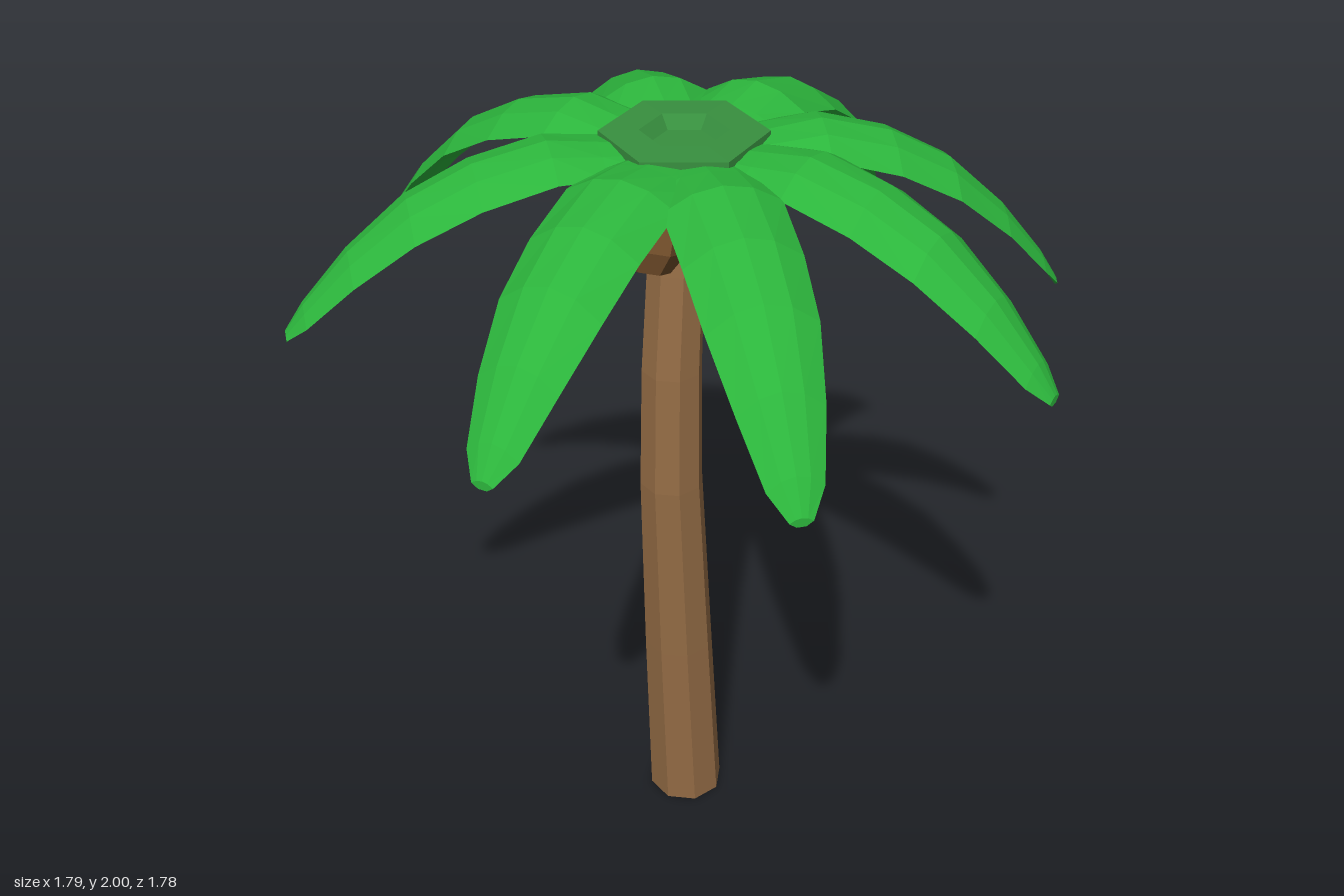
import * as THREE from 'three';

const flat = (color) => new THREE.MeshStandardMaterial({ color, flatShading: true });

// Joins equal-sized rings of [x, y, z] points (clockwise seen from the far end) into a closed solid
function loft(rings) {
  const n = rings[0].length, last = (rings.length - 1) * n, index = [];
  for (let i = 0; i < rings.length - 1; i++) {
    for (let j = 0; j < n; j++) {
      const a = i * n + j, a2 = i * n + (j + 1) % n;
      index.push(a, a + n, a2, a + n, a2 + n, a2);
    }
  }
  for (let j = 1; j < n - 1; j++) {
    index.push(0, j, j + 1, last, last + j + 1, last + j);
  }
  const geometry = new THREE.BufferGeometry();
  geometry.setAttribute('position', new THREE.Float32BufferAttribute(rings.flat(2), 3));
  geometry.setIndex(index);
  geometry.computeVertexNormals();
  return geometry;
}

// Arched leaf along +z: [fraction of length, fraction of droop, half width, fold depth]
const STATIONS = [
  [0.1, 0.08, 0.1, 0.02],
  [0.22, 0.04, 0.125, 0.035],
  [0.34, 0.0, 0.13, 0.048],
  [0.52, 0.09, 0.127, 0.055],
  [0.68, 0.26, 0.118, 0.055],
  [0.83, 0.54, 0.092, 0.045],
  [0.95, 0.84, 0.06, 0.03],
  [1.0, 1.0, 0.025, 0.01],
];

// Cross-section: gently crowned top with folded-down sides, hollow below
function frondGeometry(length, tipY) {
  const top = 1.995;
  return loft(STATIONS.map(([t, drop, w, fold]) => {
    const z = t * length, y = top - drop * (top - tipY), under = y - 0.018 - fold * 0.3;
    return [
      [-w, y - fold, z], [-w * 0.5, y - fold * 0.25, z], [0, y, z], [w * 0.5, y - fold * 0.25, z],
      [w, y - fold, z], [w * 0.4, under, z], [-w * 0.4, under, z],
    ];
  }));
}

function lathe(points, sides) {
  return new THREE.LatheGeometry(points.map(([x, y]) => new THREE.Vector2(x, y)), sides);
}

export function createModel() {
  const tree = new THREE.Group();
  tree.name = 'palmTree';
  const bark = flat(0x946c45), leaf = flat(0x2cb53c), crown = flat(0x38903f), shell = flat(0x714d29);
  const add = (name, geometry, material, x = 0, y = 0, z = 0) => {
    const mesh = new THREE.Mesh(geometry, material);
    mesh.name = name;
    mesh.position.set(x, y, z);
    tree.add(mesh);
    return mesh;
  };

  // Curved, tapering eight-sided trunk: [y, z, radius]
  const trunkRings = [
    [0, -0.025, 0.1], [0.55, 0.012, 0.09], [1.08, 0.043, 0.079],
    [1.4, 0.037, 0.074], [1.66, 0.015, 0.069], [1.93, -0.015, 0.064],
  ].map(([y, z, r]) => Array.from({ length: 8 }, (_, k) => {
    const a = k * Math.PI / 4;
    return [-0.033 + r * Math.cos(a), y, z + r * Math.sin(a)];
  }));
  add('trunk', loft(trunkRings), bark);

  // Six-sided hub with a shallow recess
  add('crownHub', lathe([
    [0, 1.87], [0.1, 1.89], [0.19, 1.955], [0.19, 1.982], [0.1, 1.984], [0.075, 1.955], [0, 1.955],
  ], 6), crown, -0.025, 0, -0.01);

  // Eight fronds: tip [x, z] from the hub and tip height
  [
    [0.91, 0.03, 1.6], [0.7, -0.55, 1.56], [0.04, -0.88, 1.51], [-0.61, -0.6, 1.51],
    [-0.88, -0.03, 1.55], [-0.65, 0.645, 1.61], [0.06, 0.895, 1.61], [0.635, 0.655, 1.58],
  ].forEach(([x, z, tipY], i) => {
    const frond = add('frond' + (i + 1), frondGeometry(Math.hypot(x, z), tipY), leaf, -0.02, 0, -0.01);
    frond.rotation.y = Math.atan2(x, z);
  });

  // Three chunky coconuts around the trunk top, leaning outwards at the foot
  const nut = lathe([[0, -0.09], [0.048, -0.09], [0.078, -0.04], [0.078, 0.045], [0.048, 0.09], [0, 0.09]], 6);
  [[-0.155, 0.02, 0.5], [0.0, 0.16, 0], [0.045, -0.125, 0.2]].forEach(([x, z, turn], i) => {
    const coconut = add('coconut' + (i + 1), nut, shell, x, 1.822, z);
    coconut.rotation.set(-z * 2, turn, x);
  });

  return tree;
}
